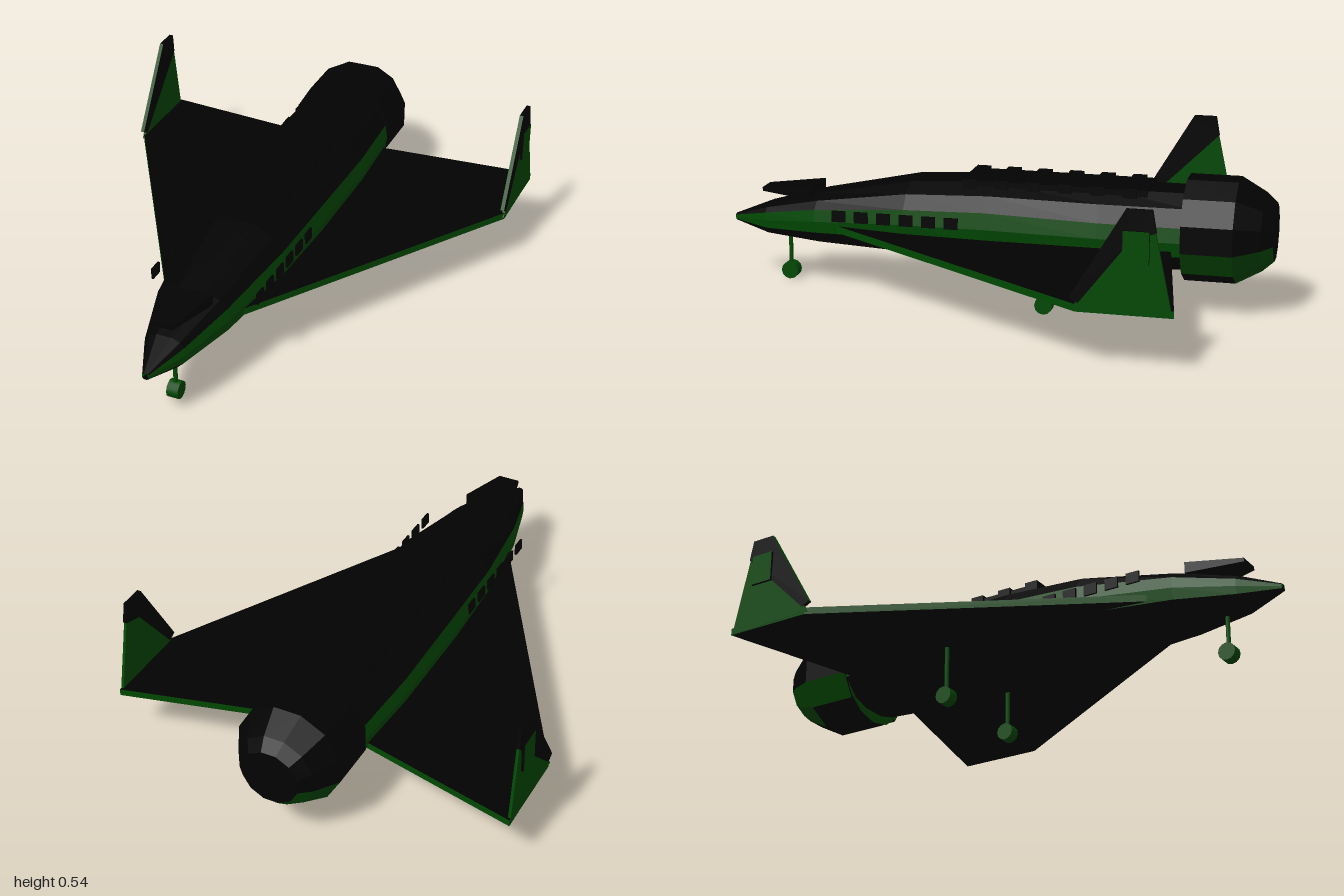
import * as THREE from 'three';

export function createModel() {
  const black = new THREE.MeshStandardMaterial({ color: 0x020202 });
  const green = new THREE.MeshStandardMaterial({ color: 0x014802 });
  black.name = 'black hull';
  green.name = 'green panels';
  const model = new THREE.Group();

  const add = (name, geometry, material, x = 0, y = 0, z = 0) => {
    const mesh = new THREE.Mesh(geometry, material);
    mesh.name = name;
    mesh.position.set(x, y, z);
    model.add(mesh);
    return mesh;
  };

  // Flat-faced skin over rings that run clockwise seen from the first end;
  // isGreen(ring, side) picks the colour, ring -1 being both end caps
  function loft(name, rings, isGreen) {
    const faces = [[], []];
    const tri = (g, a, b, c) => faces[g ? 1 : 0].push(...a, ...b, ...c);
    const n = rings[0].length, last = rings[rings.length - 1];
    for (let r = 0; r < rings.length - 1; r++) {
      for (let i = 0; i < n; i++) {
        const j = (i + 1) % n, a = rings[r], b = rings[r + 1], g = isGreen(r, i);
        tri(g, a[i], a[j], b[j]);
        tri(g, a[i], b[j], b[i]);
      }
    }
    for (let i = 1; i < n - 1; i++) {
      tri(isGreen(-1, i), rings[0][0], rings[0][i + 1], rings[0][i]);
      tri(isGreen(-1, i), last[0], last[i], last[i + 1]);
    }
    const geometry = new THREE.BufferGeometry();
    geometry.setAttribute('position', new THREE.Float32BufferAttribute(faces.flat(), 3));
    geometry.addGroup(0, faces[0].length / 3, 0);
    geometry.addGroup(faces[0].length / 3, faces[1].length / 3, 1);
    geometry.computeVertexNormals();
    return add(name, geometry, [black, green]);
  }

  // Polygon thickened along an offset, mirrored for side -1
  function slab(name, points, offset, side, isGreen) {
    const shift = (d) => {
      const ring = points.map((p) => [side * (p[0] + d[0]), p[1] + d[1], p[2] + d[2]]);
      return side < 0 ? ring.reverse() : ring;
    };
    return loft(name, [shift([0, 0, 0]), shift(offset)], isGreen);
  }

  // Fuselage stations: z, half width, top, bottom, band top, band bottom
  const stations = [
    [1, 0.012, 0.235, 0.21, 0.23, 0.215],
    [0.86, 0.075, 0.29, 0.172, 0.262, 0.205],
    [0.65, 0.135, 0.345, 0.155, 0.3, 0.215],
    [0.3, 0.188, 0.415, 0.142, 0.335, 0.228],
    [0, 0.2, 0.43, 0.135, 0.345, 0.228],
    [-0.4, 0.2, 0.43, 0.13, 0.335, 0.228],
    [-0.72, 0.182, 0.43, 0.15, 0.33, 0.228],
  ];
  const hull = stations.map(([z, w, top, bottom, bandTop, bandBottom]) => {
    const half = [
      [0.38, top], [0.74, bandTop + (top - bandTop) * 0.6], [0.95, bandTop],
      [1, (bandTop + bandBottom) / 2], [0.95, bandBottom],
      [0.62, bottom + (bandBottom - bottom) * 0.25], [0.25, bottom],
    ].map(([f, y]) => [f * w, y, z]);
    return [...half, ...half.map(([x, y]) => [-x, y, z]).reverse()];
  });
  loft('fuselage', hull, (r, i) => [2, 3, 9, 10].includes(i));

  // Twelve-sided engine housing with a tapered tail, green low on the flanks
  const engineProfile = [[-0.69, 0.188], [-0.87, 0.188], [-0.96, 0.138], [-1, 0.102]];
  const engine = engineProfile.map(([z, r]) => Array.from({ length: 12 }, (_, i) => {
    const a = (i + 0.5) * Math.PI / 6;
    return [Math.sin(a) * r * 1.03, 0.293 + Math.cos(a) * r, z];
  }));
  loft('engineHousing', engine, (r, i) => r >= 0 && [3, 7].includes(i) || r > 0 && [4, 6].includes(i));
  const rim = new THREE.RingGeometry(0.13, 0.186, 6, 1, Math.PI * 13 / 12, Math.PI * 5 / 6);
  add('engineRim', rim, green, 0, 0.293, -0.687);

  // Cockpit hood over the nose
  loft('cockpitHood', [
    [[0.04, 0.35, 0.88], [0.04, 0.336, 0.88], [-0.04, 0.336, 0.88], [-0.04, 0.35, 0.88]],
    [[0.09, 0.366, 0.68], [0.09, 0.325, 0.68], [-0.09, 0.325, 0.68], [-0.09, 0.366, 0.68]],
  ], () => false);

  // Roof bay with cross ribs
  add('roofBay', new THREE.BoxGeometry(0.2, 0.03, 0.66), black, 0, 0.422, -0.23);
  for (let i = 0; i < 6; i++) {
    add('roofRib', new THREE.BoxGeometry(0.22, 0.04, 0.05), black, 0, 0.425, 0.075 - i * 0.115);
  }

  for (const side of [1, -1]) {
    // Delta wing, drooping to the tip, with green edges
    slab('wing', [
      [0.15, 0.25, -0.655], [0.74, 0.215, -0.76], [0.74, 0.215, -0.44], [0.145, 0.25, 0.56],
    ], [0, -0.025, 0], side, (r) => r >= 0);
    slab('wingPanel', [
      [0.24, 0.254, -0.6], [0.69, 0.228, -0.68], [0.69, 0.228, -0.45], [0.24, 0.254, 0.05],
    ], [0, -0.015, 0], side, () => false);

    // Upright wingtip fin with dark faces along its leading edge and tip
    slab('fin', [
      [0.741, 0.2, -0.43], [0.737, 0.53, -0.605], [0.737, 0.53, -0.682], [0.741, 0.19, -0.755],
    ], [-0.01, 0, 0], side, () => true);
    slab('finEdge', [
      [0.741, 0.44, -0.62], [0.743, 0.22, -0.45], [0.743, 0.235, -0.42],
      [0.739, 0.538, -0.6], [0.739, 0.538, -0.685], [0.741, 0.465, -0.698],
    ], [-0.014, 0, 0], side, (r, i) => r >= 0 && i === 2);
    add('finBlock', new THREE.BoxGeometry(0.02, 0.11, 0.085),
      [green, green, black, black, black, black], side * 0.739, 0.415, -0.635);

    // Side windows
    for (let i = 0; i < 6; i++) {
      add('window', new THREE.BoxGeometry(0.008, 0.04, 0.05), black, side * 0.195, 0.3, 0.535 - i * 0.083);
    }
  }

  // Landing gear: one nose leg and two main legs
  for (const [x, z, top] of [[0, 0.79, 0.2], [0.2, -0.22, 0.23], [-0.2, -0.22, 0.23]]) {
    add('gearLeg', new THREE.CylinderGeometry(0.008, 0.008, top - 0.04, 8), green, x, (top + 0.04) / 2, z);
    const wheel = new THREE.CylinderGeometry(0.032, 0.032, 0.042, 12).rotateZ(Math.PI / 2);
    add('wheel', wheel, green, x, 0.032, z);
  }
  return model;
}
